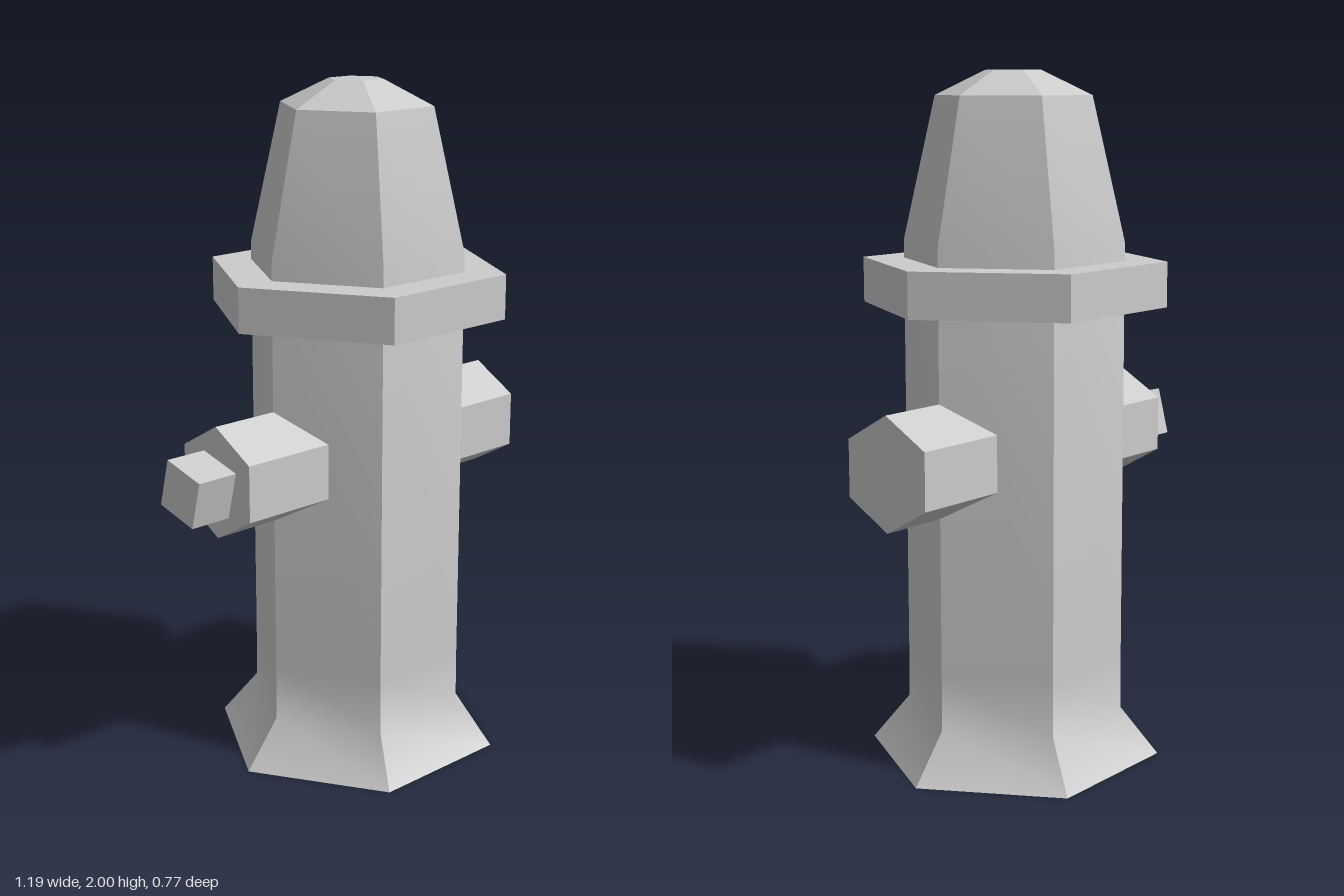
import * as THREE from 'three';
import { toCreasedNormals } from 'three/addons/utils/BufferGeometryUtils.js';

const AXIS_X = 0.061; // the barrel stands slightly off centre
const ARM_Y = 0.927;

export function createModel() {
  const group = new THREE.Group();
  const smooth = new THREE.MeshStandardMaterial({ color: 0xcccccc });
  const flat = new THREE.MeshStandardMaterial({ color: 0xcccccc, flatShading: true });

  const add = (name, geometry, material, x, y, z = 0) => {
    const mesh = new THREE.Mesh(geometry, material);
    mesh.name = name;
    mesh.position.set(x, y, z);
    group.add(mesh);
  };

  // Six-sided lathe with corners on the x axis
  const hexLathe = (profile) => new THREE.LatheGeometry(
    profile.map(([r, y]) => new THREE.Vector2(r, y)), 6, Math.PI / 6);

  // Prism lying along x between x0 and x1
  const prism = (name, sides, radius, turn, x0, x1, y, z = 0) => {
    const g = new THREE.CylinderGeometry(radius, radius, x1 - x0, sides, 1, false, turn);
    add(name, g.rotateZ(Math.PI / 2), flat, (x0 + x1) / 2, y, z);
  };

  // Barrel with flared foot and tapering bonnet, softened along its height only
  const barrel = hexLathe([
    [0, 0], [0.434, 0], [0.322, 0.138], [0.321, 0.3],
    [0.321, 1.52], [0.226, 1.93],
  ]);
  add('barrel', toCreasedNormals(barrel, THREE.MathUtils.degToRad(40)), smooth, AXIS_X, 0);

  // Faceted crown closing the bonnet
  add('crown', hexLathe([[0.226, 1.93], [0.081, 2], [0, 2]]), flat, AXIS_X, 0);

  // Flange ring
  add('flange', new THREE.CylinderGeometry(0.442, 0.442, 0.13, 6, 1, false, Math.PI / 6),
    flat, AXIS_X, 1.403);

  // Side outlets
  prism('leftOutlet', 6, 0.163, Math.PI / 6, 0.2, 0.595, ARM_Y);
  prism('rightOutlet', 6, 0.163, Math.PI / 6, -0.47, -0.08, ARM_Y);

  // Tilted square nut on the right outlet
  prism('outletNut', 4, 0.101, THREE.MathUtils.degToRad(30.5), -0.598, -0.46, 0.923, -0.002);

  return group;
}
